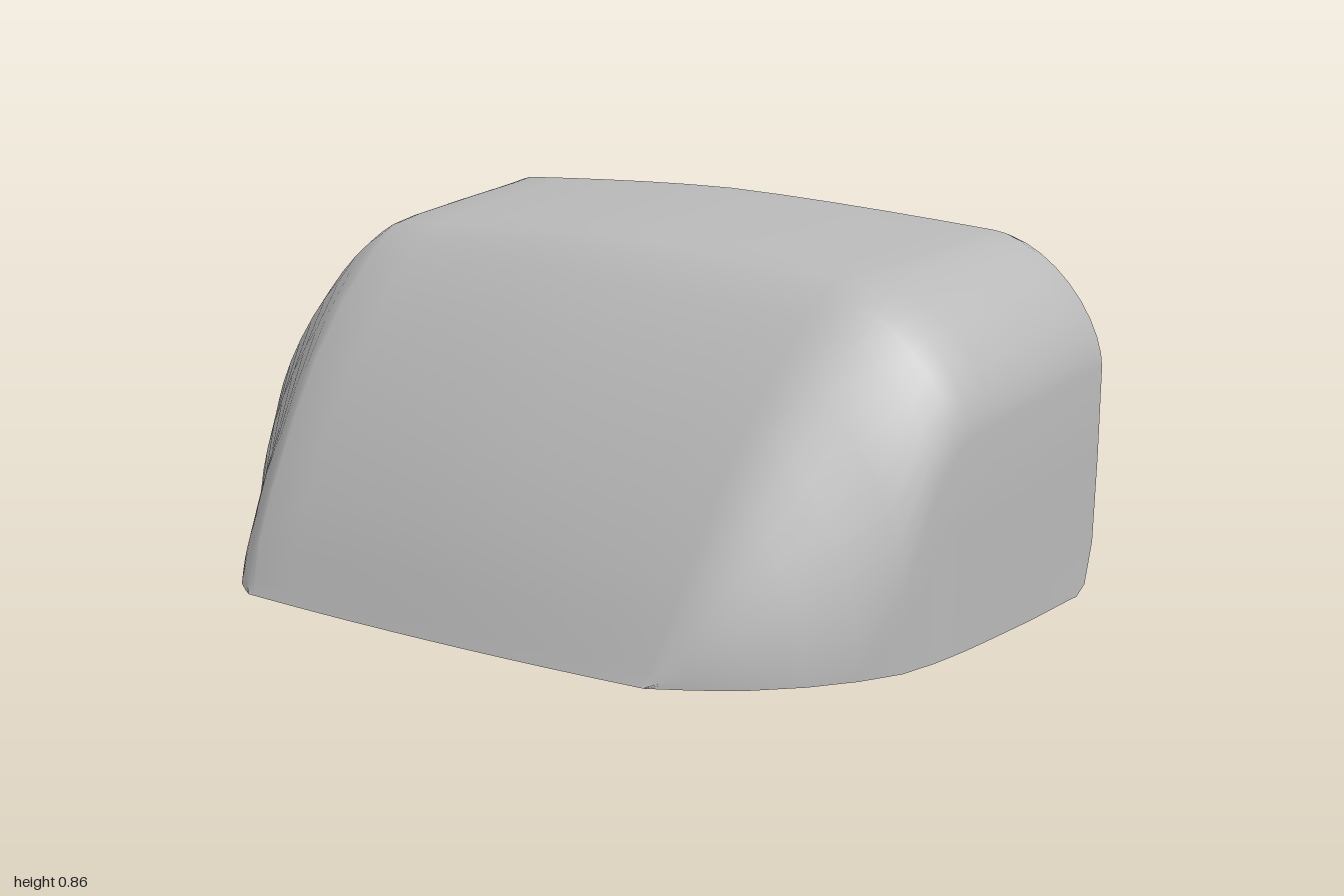
import * as THREE from 'three';
import { toCreasedNormals } from 'three/addons/utils/BufferGeometryUtils.js';

// Cross-sections along x: x, crown height, front half-depth, back half-depth,
// shoulder height, front roof edge, back roof edge
const STATIONS = [
  [-0.61, 0, 0.56, 0.56, 0, 0.54, 0.54],
  [-0.595, 0.035, 0.59, 0.585, 0, 0.56, 0.55],
  [-0.56, 0.125, 0.65, 0.63, 0, 0.58, 0.57],
  [-0.5, 0.25, 0.735, 0.68, 0, 0.59, 0.58],
  [-0.4, 0.41, 0.83, 0.75, 0, 0.6, 0.59],
  [-0.3, 0.54, 0.9, 0.815, 0.03, 0.61, 0.6],
  [-0.2, 0.655, 0.95, 0.88, 0.17, 0.62, 0.6],
  [-0.1, 0.745, 0.97, 0.91, 0.38, 0.63, 0.6],
  [-0.03, 0.795, 0.978, 0.918, 0.45, 0.64, 0.6],
  [0.02, 0.815, 0.983, 0.923, 0.475, 0.65, 0.6],
  [0.1, 0.826, 0.988, 0.935, 0.49, 0.67, 0.6],
  [0.3, 0.838, 0.997, 0.962, 0.51, 0.7, 0.61],
  [0.5, 0.85, 0.998, 0.985, 0.53, 0.72, 0.615],
  [0.57, 0.855, 1, 0.993, 0.53, 0.73, 0.62],
  [0.605, 0.843, 1, 1, 0.53, 0.73, 0.62],
];
const WALL = [0, 0.04, 0.22, 0.6];
const ARC = 10, ROOF = 5;

// Flat end leans inward near the ground
const END = [[0, 0.52], [0.02, 0.56], [0.12, 0.592], [0.25, 0.6], [0.6, 0.605], [2, 0.605]];
function endLimit(y) {
  const i = Math.max(1, END.findIndex((p) => p[0] >= y));
  const [y0, x0] = END[i - 1], [y1, x1] = END[i];
  return x0 + (x1 - x0) * (y - y0) / (y1 - y0);
}

// Half a section from the ground up to the crown, as [z, y]
function halfSection(depth, shoulder, roofZ, crown, power) {
  const edge = crown - Math.min(0.03, crown * 0.12);
  const pts = WALL.map((w) => [depth, shoulder * w]);
  for (let i = 0; i <= ARC; i++) {
    const a = (i / ARC) * Math.PI / 2;
    pts.push([
      roofZ + (depth - roofZ) * Math.cos(a) ** (2 / power),
      shoulder + (edge - shoulder) * Math.sin(a) ** (2 / power),
    ]);
  }
  for (let i = 1; i <= ROOF; i++) {
    const t = 1 - i / ROOF;
    pts.push([roofZ * t, crown - (crown - edge) * t ** 1.5]);
  }
  return pts;
}

function ring([x, crown, front, back, shoulder, roofF, roofB]) {
  const f = halfSection(front, shoulder, roofF, crown, 1.65);
  const b = halfSection(back, shoulder * 0.78, roofB, crown, 1.35);
  const pts = [...f, ...b.slice(0, -1).reverse().map(([z, y]) => [-z, y])];
  const bow = 0.022 * Math.max(0, Math.min(1, -x / 0.6));
  return pts.map(([z, y]) => new THREE.Vector3(
    Math.min(x + bow * Math.min(1, (z / 0.6) ** 2), endLimit(y)), y, z));
}

function shellGeometry() {
  const rings = STATIONS.map(ring);
  const n = rings[0].length, last = rings.length - 1, half = (n - 1) / 2;
  const pos = [];
  const tri = (a, b, c) => {
    const area = b.clone().sub(a).cross(c.clone().sub(a)).length();
    if (area > 1e-9) for (const p of [a, b, c]) pos.push(p.x, p.y, p.z);
  };
  const quad = (a, b, c, d) => { tri(a, b, c); tri(b, d, c); };
  for (let j = 0; j < last; j++) {
    const r = rings[j], s = rings[j + 1];
    // Curved skin
    for (let i = 0; i < n - 1; i++) quad(r[i], s[i], r[i + 1], s[i + 1]);
    // Underside
    quad(r[0], r[n - 1], s[0], s[n - 1]);
  }
  // Flat end, and the thin sliver of underside at the bowed nose
  const e = rings[last], s = rings[0];
  for (let k = 0; k < half; k++) {
    quad(e[k], e[n - 1 - k], e[k + 1], e[n - 2 - k]);
    quad(s[n - 1 - k], s[k], s[n - 2 - k], s[k + 1]);
  }
  const g = new THREE.BufferGeometry();
  g.setAttribute('position', new THREE.Float32BufferAttribute(pos, 3));
  return toCreasedNormals(g, 0.55);
}

export function createModel() {
  const group = new THREE.Group();
  group.name = 'roundedShell';
  const grey = new THREE.MeshStandardMaterial({ color: 0xb8b8b8 });
  grey.name = 'lightGrey';
  const body = new THREE.Mesh(shellGeometry(), grey);
  body.name = 'body';
  group.add(body);
  return group;
}
